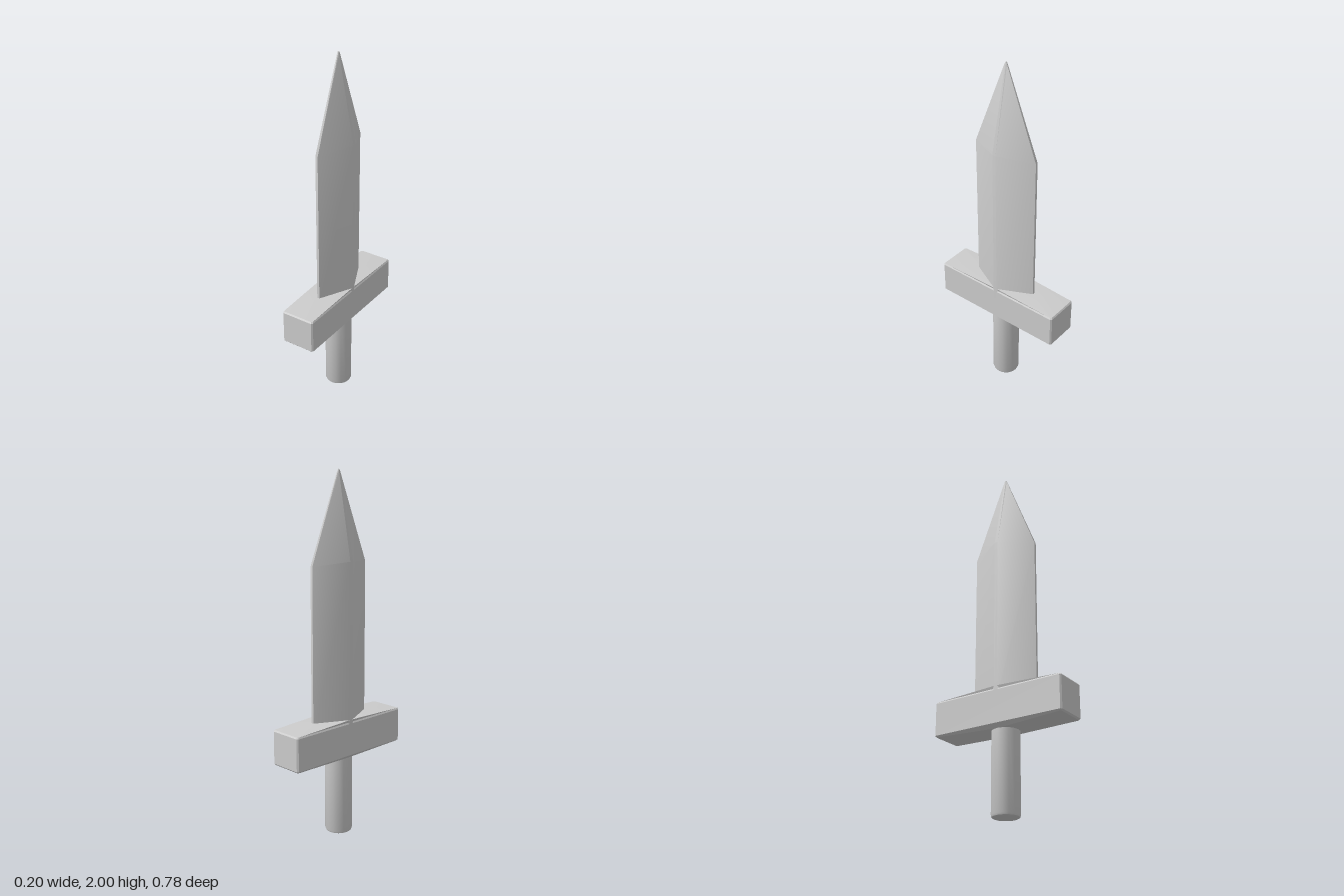
import * as THREE from 'three';
import { toCreasedNormals } from 'three/addons/utils/BufferGeometryUtils.js';

const material = new THREE.MeshStandardMaterial({ color: 0xcccccc });

// Skin over eight-cornered cross-sections, mirrored in x and z.
// Each section is [xa, za, xb, zb, ya, yb]: the corner by the x side and the one by the z side.
function loft(sections) {
  const positions = [], index = [];
  for (const [xa, za, xb, zb, ya, yb = ya] of sections) {
    for (const [sx, sz] of [[1, 1], [1, -1], [-1, -1], [-1, 1]]) {
      const pair = [[sx * xb, yb, sz * zb], [sx * xa, ya, sz * za]];
      if (sx * sz < 0) pair.reverse();
      positions.push(...pair[0], ...pair[1]);
    }
  }
  const last = (sections.length - 1) * 8;
  for (let base = 0; base < last; base += 8) {
    for (let i = 0; i < 8; i++) {
      const a = base + i, b = base + (i + 1) % 8;
      index.push(a, b, b + 8, a, b + 8, a + 8);
    }
  }
  for (let i = 1; i < 7; i++) {
    index.push(0, i + 1, i, last, last + i, last + i + 1);
  }
  const geometry = new THREE.BufferGeometry();
  geometry.setAttribute('position', new THREE.Float32BufferAttribute(positions, 3));
  geometry.setIndex(index);
  return toCreasedNormals(geometry, 0.5);
}

function addPart(group, name, geometry) {
  const mesh = new THREE.Mesh(geometry, material);
  mesh.name = name;
  group.add(mesh);
}

export function createModel() {
  const sword = new THREE.Group();
  sword.name = 'sword';

  // Diamond-section blade with a long pointed tip
  addPart(sword, 'blade', loft([
    [0.098, 0.01, 0.007, 0.195, 0.6],
    [0.098, 0.01, 0.007, 0.195, 1.53, 1.51],
    [0.006, 0.003, 0.003, 0.008, 1.99],
    [0.003, 0.001, 0.001, 0.003, 2.0],
  ]));

  // Crossguard swelling towards the grip below and the blade above
  addPart(sword, 'crossguard', loft([
    [0.075, 0.031, 0.031, 0.075, 0.447],
    [0.09, 0.375, 0.085, 0.382, 0.46],
    [0.098, 0.382, 0.09, 0.39, 0.468],
    [0.098, 0.382, 0.09, 0.39, 0.648],
    [0.093, 0.377, 0.087, 0.384, 0.656],
    [0.098, 0.01, 0.007, 0.195, 0.67],
  ]));

  // Round grip with a softened end
  const gripProfile = [[0, 0], [0.064, 0], [0.072, 0.004], [0.076, 0.014], [0.076, 0.47]];
  addPart(sword, 'grip', toCreasedNormals(
    new THREE.LatheGeometry(gripProfile.map(([r, y]) => new THREE.Vector2(r, y)), 16), 0.7));

  return sword;
}
